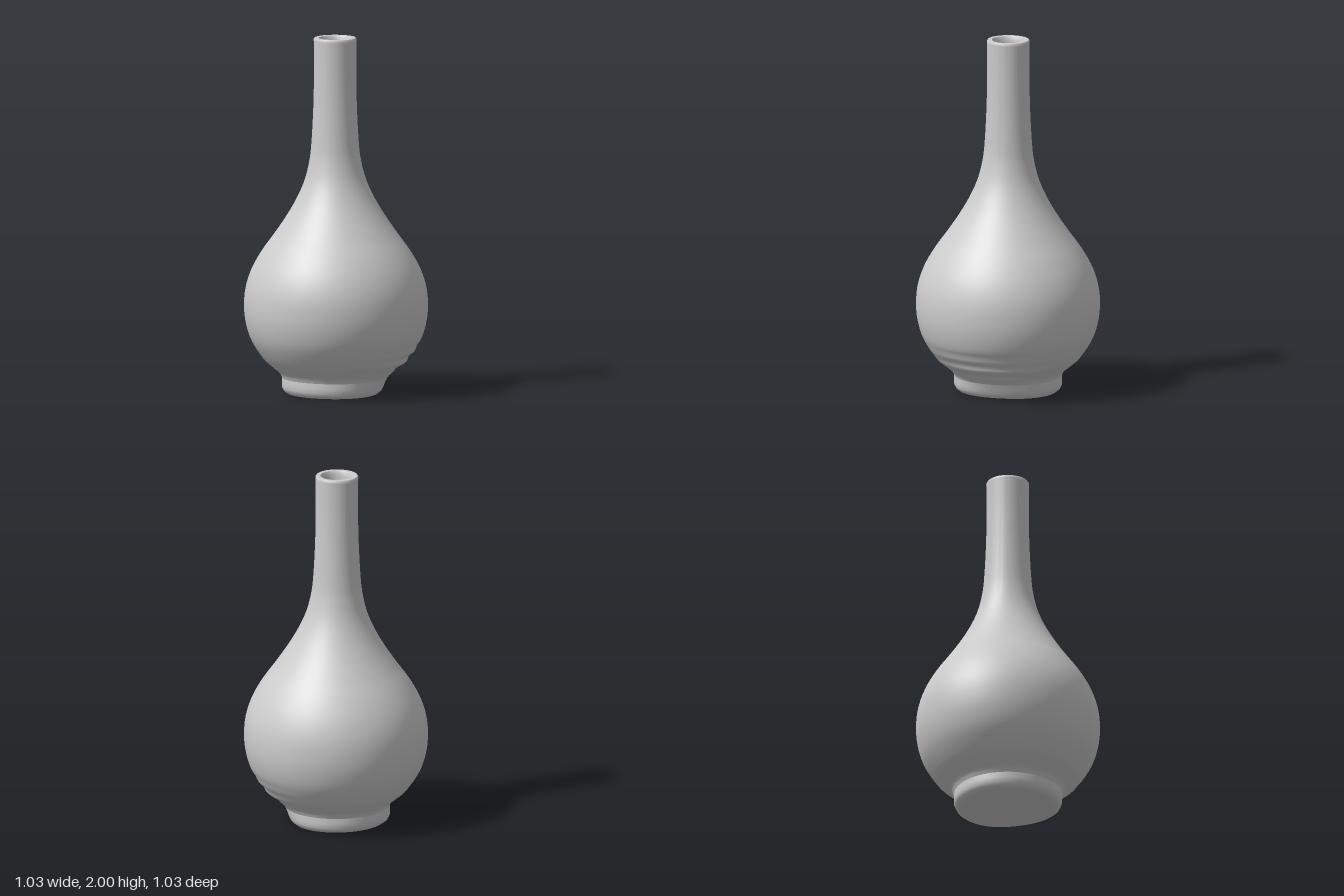
import * as THREE from 'three';
import { toCreasedNormals } from 'three/addons/utils/BufferGeometryUtils.js';

const SEGMENTS = 96;
const vec = ([x, y]) => new THREE.Vector2(x, y);
const smooth = (points, n) => new THREE.SplineCurve(points.map(vec)).getPoints(n);
const step = THREE.MathUtils.smoothstep;

// Turns a profile, then applies the hand-thrown irregularities on the +x side
function turned(name, profile) {
  const geometry = new THREE.LatheGeometry(profile, SEGMENTS);
  const pos = geometry.attributes.position;
  for (let i = 0; i < pos.count; i++) {
    const x = pos.getX(i), y = pos.getY(i), z = pos.getZ(i);
    const r = Math.hypot(x, z);
    if (r < 1e-5) continue;
    const side = Math.max(0, x / r) ** 3;
    // foot leans inwards towards the ground
    const lean = -0.04 * side * (1 - step(y, 0.02, 0.14)) * Math.min(1, r / 0.28);
    // shallow throwing ridges just above the foot
    const band = step(y, 0.09, 0.14) * (1 - step(y, 0.24, 0.32));
    const ridge = side * band * (0.007 * Math.sin((y - 0.1) * Math.PI * 2 / 0.065) - 0.004);
    const k = r > 0.2 || y < 0.1 ? 1 + (lean + ridge) / r : 1;
    pos.setXYZ(i, x * k - 0.005 * step(y, 0.9, 1.4), y, z * k);
  }
  const mesh = new THREE.Mesh(
    toCreasedNormals(geometry, 0.7),
    new THREE.MeshStandardMaterial({ color: 0xcccccc, side: THREE.DoubleSide })
  );
  mesh.name = name;
  return mesh;
}

export function createModel() {
  const vase = new THREE.Group();
  vase.name = 'vase';

  // Foot ring with a faintly hollow underside
  vase.add(turned('foot', [
    [0, 0.012], [0.22, 0.01], [0.255, 0], [0.275, 0.003], [0.292, 0.016],
    [0.301, 0.035], [0.302, 0.06], [0.301, 0.09]
  ].map(vec)));

  // Round belly drawn up into the long neck
  vase.add(turned('body', smooth([
    [0.301, 0.09], [0.318, 0.12], [0.36, 0.155], [0.408, 0.2], [0.472, 0.3],
    [0.504, 0.4], [0.513, 0.5], [0.503, 0.6], [0.47, 0.7], [0.414, 0.8],
    [0.342, 0.9], [0.274, 1.0], [0.216, 1.1], [0.172, 1.2], [0.146, 1.3],
    [0.133, 1.4], [0.122, 1.6], [0.118, 1.8], [0.119, 1.98]
  ], 110)));

  // Rim and the shallow mouth inside it
  vase.add(turned('mouth', [
    [0.119, 1.98], [0.12, 1.992], [0.115, 2], [0.092, 2], [0.087, 1.992],
    ...smooth([[0.084, 1.97], [0.08, 1.94], [0.068, 1.915], [0.055, 1.905]], 12).map(p => [p.x, p.y]),
    [0, 1.9]
  ].map(vec)));

  return vase;
}
